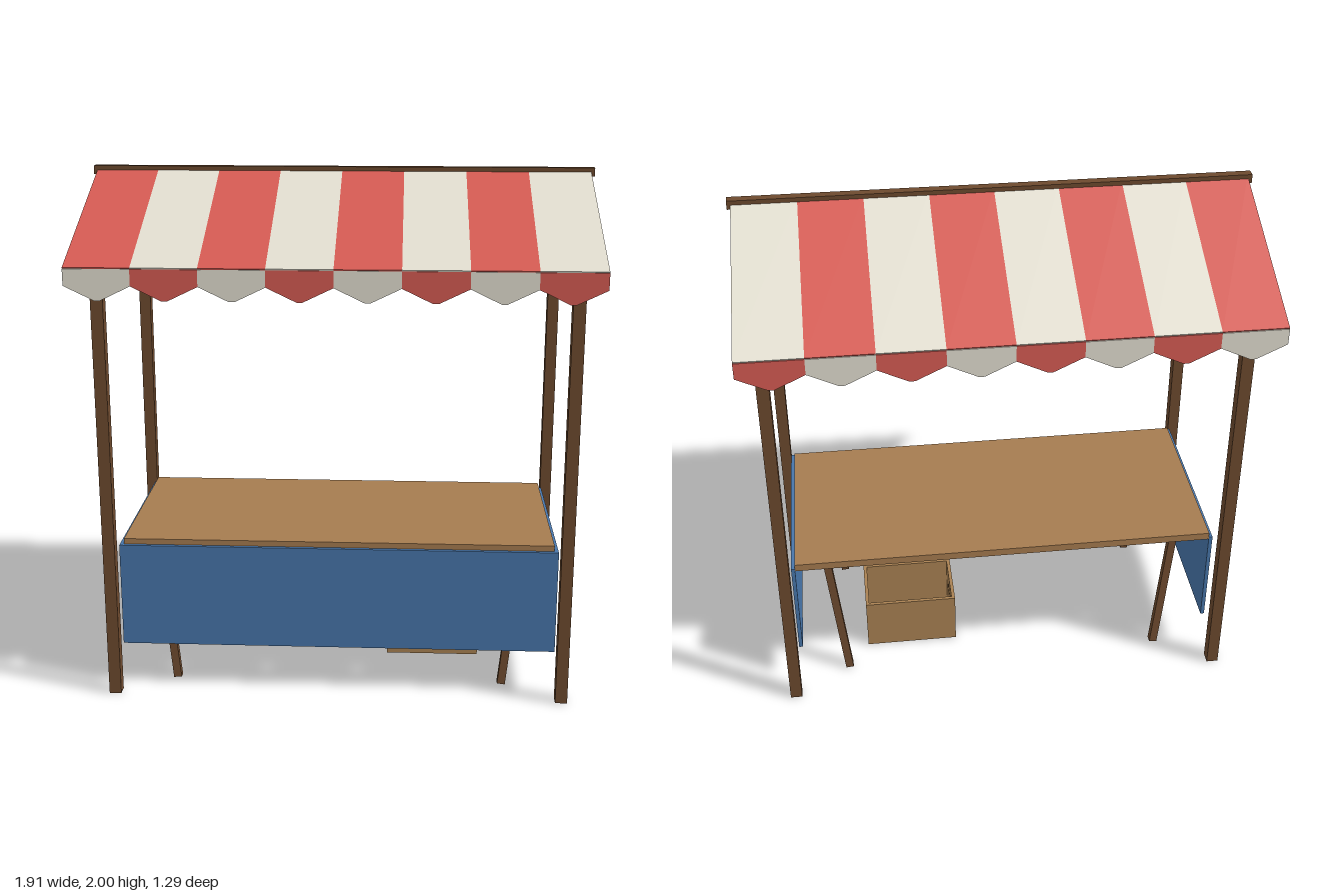
import * as THREE from 'three';

const mat = (name, color) => {
  const m = new THREE.MeshStandardMaterial({ color });
  m.name = name;
  return m;
};

export function createModel() {
  const red = mat('red canvas', 0xd65b53);
  const cream = mat('cream canvas', 0xe3dfd1);
  const blue = mat('blue cloth', 0x4876ab);
  const darkWood = mat('dark wood', 0x6d4a2e);
  const tableWood = mat('table wood', 0xa67c50);
  const crateWood = mat('crate wood', 0xaa8253);

  const model = new THREE.Group();
  model.name = 'marketStall';

  const add = (name, geometry, material, x, y, z, parent = model) => {
    const mesh = new THREE.Mesh(geometry, material);
    mesh.name = name;
    mesh.position.set(x, y, z);
    parent.add(mesh);
    return mesh;
  };
  const box = (name, w, h, d, material, x, y, z, parent) =>
    add(name, new THREE.BoxGeometry(w, h, d), material, x, y, z, parent);

  // Corner posts and ridge beam
  for (const sx of [-1, 1]) {
    for (const sz of [-1, 1]) {
      box('post', 0.046, 1.705, 0.046, darkWood, sx * 0.868, 0.8525, sz * 0.453);
    }
  }
  box('ridgeBeam', 1.915, 0.033, 0.036, darkWood, 0, 1.9835, 0);

  // Striped awning: two sloping sides with a pointed valance in swapped colours
  const stripes = 8, width = 1.888 / stripes;
  const run = 0.64, drop = 0.28;
  const slope = Math.atan2(drop, run);
  const panel = new THREE.BoxGeometry(width, 0.012, Math.hypot(run, drop));
  const flap = new THREE.Shape([
    new THREE.Vector2(-width / 2, 0),
    new THREE.Vector2(-width / 2, -0.06),
    new THREE.Vector2(-0.01, -0.112),
    new THREE.Vector2(0.01, -0.112),
    new THREE.Vector2(width / 2, -0.06),
    new THREE.Vector2(width / 2, 0),
  ]);
  const flapGeometry = new THREE.ExtrudeGeometry(flap, { depth: 0.006, bevelEnabled: false });
  flapGeometry.translate(0, 0, -0.003);
  for (const side of [1, -1]) {
    for (let i = 0; i < stripes; i++) {
      const x = (i - (stripes - 1) / 2) * width;
      const colours = i % 2 ? [cream, red] : [red, cream];
      const stripe = add('awningStripe', panel, colours[0], x, 1.985 - drop / 2, side * run / 2);
      stripe.rotation.x = side * slope;
      add('valanceFlap', flapGeometry, colours[1], x, 1.706, side * 0.641);
    }
  }

  // Table with cloth on the front and both ends
  const table = new THREE.Group();
  table.name = 'table';
  model.add(table);
  box('tableTop', 1.656, 0.03, 0.755, tableWood, 0, 0.595, 0.0025, table);
  box('clothFront', 1.686, 0.41, 0.015, blue, 0, 0.385, 0.3925, table);
  for (const sx of [-1, 1]) {
    box('clothSide', 0.015, 0.41, 0.76, blue, sx * 0.8355, 0.385, 0.005, table);
  }

  // Slanted table legs
  const up = new THREE.Vector3(0, 1, 0);
  for (const sx of [-1, 1]) {
    for (const sz of [-1, 1]) {
      const foot = new THREE.Vector3(sx * 0.645, 0.003, sz * 0.317);
      const head = new THREE.Vector3(sx * 0.712, 0.585, sz * 0.268);
      const axis = head.clone().sub(foot);
      const mid = foot.clone().add(head).multiplyScalar(0.5);
      const leg = box('tableLeg', 0.031, axis.length(), 0.031, darkWood, mid.x, mid.y, mid.z, table);
      leg.quaternion.setFromUnitVectors(up, axis.normalize());
    }
  }

  // Open crate with a hand hole in each end
  const crate = new THREE.Group();
  crate.name = 'crate';
  crate.position.set(0.375, 0, -0.071);
  model.add(crate);
  const W = 0.374, H = 0.22, D = 0.26, T = 0.014;
  box('crateBase', W - 2 * T, T, D - 2 * T, crateWood, 0, T / 2, 0, crate);
  for (const sz of [-1, 1]) {
    box('crateSide', W - 2 * T, H, T, crateWood, 0, H / 2, sz * (D - T) / 2, crate);
  }
  const rect = (Kind, w, y0, y1) => new Kind([
    new THREE.Vector2(-w / 2, y0), new THREE.Vector2(w / 2, y0),
    new THREE.Vector2(w / 2, y1), new THREE.Vector2(-w / 2, y1),
  ]);
  const end = rect(THREE.Shape, D, 0, H);
  end.holes.push(rect(THREE.Path, 0.122, 0.117, 0.15));
  const endGeometry = new THREE.ExtrudeGeometry(end, { depth: T, bevelEnabled: false });
  endGeometry.translate(0, 0, -T / 2);
  endGeometry.rotateY(Math.PI / 2);
  for (const sx of [-1, 1]) {
    add('crateEnd', endGeometry, crateWood, sx * (W - T) / 2, 0, 0, crate);
  }

  return model;
}
